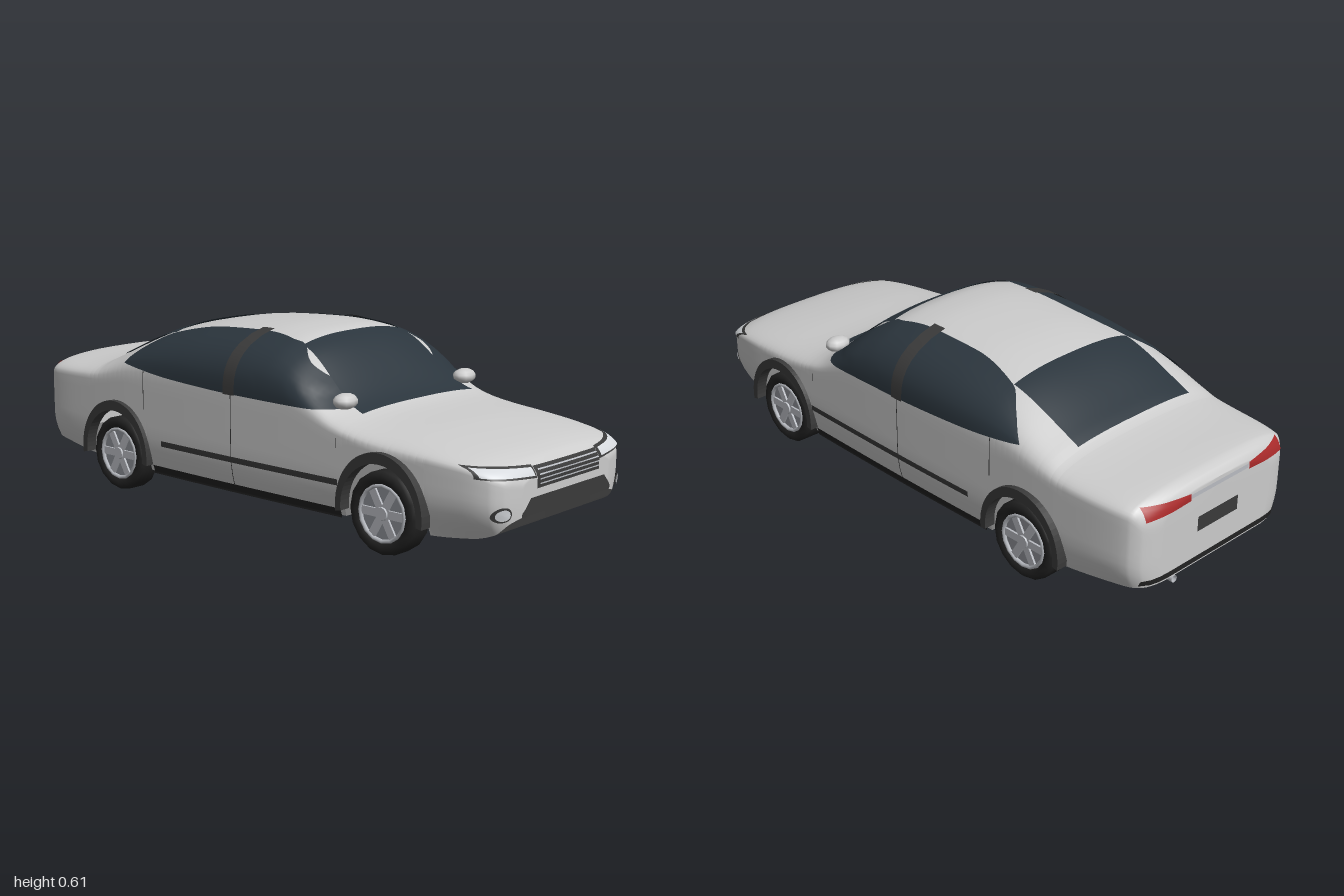
import * as THREE from 'three';

const material = (color) => new THREE.MeshStandardMaterial({ color, side: THREE.DoubleSide });
const PAINT = material(0xcccccc), GLASS = material(0x2b353d), TRIM = material(0x3a3a3a);
const RUBBER = material(0x222222), RED = material(0xa82a2a), LAMP = material(0xd5d8dc), ALLOY = material(0xb9bcc2);
const { clamp, lerp } = THREE.MathUtils;

// Smooth monotone curve through [x, value] pairs
function profile(pts) {
  const n = pts.length - 1;
  const d = pts.slice(1).map((p, i) => (p[1] - pts[i][1]) / (p[0] - pts[i][0]));
  const m = pts.map((p, i) => {
    if (i === 0 || i === n) return d[Math.min(i, n - 1)];
    const a = d[i - 1], b = d[i];
    return a * b <= 0 ? 0 : (2 * a * b) / (a + b);
  });
  return (x) => {
    x = clamp(x, pts[0][0], pts[n][0]);
    let i = 0;
    while (i < n - 1 && x > pts[i + 1][0]) i++;
    const h = pts[i + 1][0] - pts[i][0], t = (x - pts[i][0]) / h, s = 1 - t;
    return s * s * (1 + 2 * t) * pts[i][1] + t * t * (3 - 2 * t) * pts[i + 1][1] + h * t * s * (s * m[i] - t * m[i + 1]);
  };
}

// Body lines along the length: top, shoulder, underside, half width
const top = profile([[-1, 0.39], [-0.985, 0.41], [-0.95, 0.422], [-0.8, 0.43], [-0.7, 0.442], [-0.64, 0.47], [-0.4, 0.572],
  [-0.2, 0.6], [0, 0.608], [0.12, 0.599], [0.2, 0.572], [0.42, 0.405], [0.5, 0.384], [0.7, 0.365], [0.88, 0.338], [0.96, 0.315], [0.99, 0.29], [1, 0.275]]);
const shoulder = profile([[-1, 0.3], [-0.95, 0.36], [-0.7, 0.37], [-0.5, 0.395], [0.2, 0.4], [0.42, 0.34], [0.6, 0.31], [0.88, 0.29], [0.97, 0.26], [1, 0.24]]);
const under = profile([[-1, 0.13], [-0.9, 0.12], [-0.72, 0.1], [-0.4, 0.09], [0.45, 0.09], [0.75, 0.083], [0.88, 0.09], [0.95, 0.11], [1, 0.16]]);
const width = profile([[-1, 0.24], [-0.995, 0.28], [-0.98, 0.32], [-0.94, 0.348], [-0.8, 0.365], [-0.5, 0.378], [0, 0.385],
  [0.5, 0.38], [0.75, 0.368], [0.88, 0.352], [0.95, 0.33], [0.985, 0.29], [1, 0.22]]);
const tuck = profile([[-1, 0.16], [-0.6, 0.06], [0.6, 0.06], [1, 0.18]]);
const POW = 2.6;

// Half width of the body at (x, y), height at (x, z), and end position at (y, z)
function sideZ(x, y) {
  const s = shoulder(x), t = (y - s) / (top(x) - s);
  if (t > 0) return t >= 1 ? 0 : width(x) * (1 - t ** POW) ** (1 / POW);
  return width(x) * (1 - tuck(x) * clamp((0.22 - y) / 0.13, 0, 1) ** 2);
}
function topY(x, z) {
  const s = shoulder(x), k = Math.min(1, Math.abs(z) / width(x));
  return s + (top(x) - s) * (1 - k ** POW) ** (1 / POW);
}
function endX(dir, y, z) {
  let a = 0.75, b = 1;
  for (let i = 0; i < 22; i++) {
    const c = (a + b) / 2;
    const inside = Math.abs(z) <= sideZ(dir * c, y) && y <= top(dir * c) && y >= under(dir * c) - 0.03;
    if (inside) a = c; else b = c;
  }
  return dir * a;
}

// Grid surface from a list of rows of [x, y, z]
function surface(name, rows, mat) {
  const geo = new THREE.BufferGeometry(), n = rows[0].length, index = [];
  geo.setAttribute('position', new THREE.Float32BufferAttribute(rows.flat(2), 3));
  for (let i = 0; i < rows.length - 1; i++)
    for (let j = 0; j < n - 1; j++) {
      const a = i * n + j, b = a + n;
      index.push(a, a + 1, b, b, a + 1, b + 1);
    }
  geo.setIndex(index);
  geo.computeVertexNormals();
  const mesh = new THREE.Mesh(geo, mat);
  mesh.name = name;
  return mesh;
}
function patch(name, mat, nu, nv, fn) {
  const rows = [];
  for (let i = 0; i <= nu; i++) rows.push(Array.from({ length: nv + 1 }, (_, j) => fn(i / nu, j / nv)));
  return surface(name, rows, mat);
}
// Patch on the flank between two height curves
const sidePatch = (name, mat, s, x0, x1, lo, hi, off = 0.003, nu = 40) => patch(name, mat, nu, 8, (u, v) => {
  const x = s > 0 ? lerp(x0, x1, u) : lerp(x1, x0, u);
  const y = Math.min(lerp(lo(x), hi(x), v), lerp(shoulder(x), top(x), 0.93));
  return [x, y + (y > 0.45 ? off * 0.8 : 0), s * (sideZ(x, y) + off)];
});
// Patch on the nose (dir 1) or tail (dir -1): z range, then [low, high] at each end
const endPatch = (name, mat, dir, z0, z1, a, b, off = 0.003) => patch(name, mat, 20, 4, (u, v) => {
  const z = dir > 0 ? lerp(z1, z0, u) : lerp(z0, z1, u), k = (z - z0) / (z1 - z0);
  const y = lerp(lerp(a[0], b[0], k), lerp(a[1], b[1], k), v);
  return [endX(dir, y, z) + dir * off, y, z + Math.sign(z) * off * 0.5];
});

const WHEELS = [-0.57, 0.605], AXLE = 0.127, ARCH = 0.15;

function addShell(g) {
  const xs = [];
  for (let i = -38; i <= 38; i++) xs.push(i * 0.025);
  for (const e of [0.96, 0.97, 0.98, 0.985, 0.99, 0.995, 0.998, 1]) xs.push(e, -e);
  for (const c of WHEELS) {
    xs.push(c - ARCH - 0.001, c + ARCH + 0.001);
    for (let k = 0; k <= 24; k++) xs.push(c - ARCH * Math.cos((Math.PI * k) / 24));
  }
  xs.sort((a, b) => a - b);
  const inArch = (x) => WHEELS.find((c) => Math.abs(x - c) <= ARCH + 1e-6);
  const section = (x) => {
    const c = inArch(x), s = shoulder(x), half = [];
    const y0 = c === undefined ? under(x) : AXLE + 0.005 + Math.sqrt(Math.max(0, ARCH ** 2 - (x - c) ** 2));
    for (let i = 0; i < 8; i++) { const y = lerp(y0, s, i / 8); half.push([x, y, sideZ(x, y)]); }
    for (let i = 0; i <= 16; i++) {
      const t = (Math.PI / 2) * (i / 16), z = i === 16 ? 0 : width(x) * Math.cos(t) ** (2 / POW);
      half.push([x, s + (top(x) - s) * Math.sin(t) ** (2 / POW), z]);
    }
    return [...half, ...half.slice(0, -1).reverse().map(([a, b, z]) => [a, b, -z])];
  };
  const rows = xs.map(section);
  // Flat caps close nose and tail
  const cap = (r) => r.map(([x, y]) => [x, y, 0]);
  g.add(surface('bodyShell', [cap(rows[0]), ...rows, cap(rows[rows.length - 1])], PAINT));
  // Floor, notched at the wheels
  g.add(surface('floor', xs.map((x) => {
    const y = under(x), z = inArch(x) === undefined ? sideZ(x, y) : 0.25;
    return [[x, y, -z], [x, y, z]];
  }), material(0x777777)));
}

function addGlass(g) {
  const screen = (name, x0, x1, z0, z1) => g.add(patch(name, GLASS, 16, 24, (u, v) => {
    const x = lerp(x0, x1, u), z = lerp(-1, 1, v) * lerp(z0, z1, u);
    return [x, topY(x, z) + 0.005, z];
  }));
  screen('windscreen', 0.17, 0.445, 0.24, 0.275);
  screen('rearWindow', -0.67, -0.4, 0.25, 0.25);
  const lo = profile([[-0.54, 0.445], [-0.3, 0.42], [0, 0.407], [0.41, 0.402]]);
  const hi = profile([[-0.54, 0.447], [-0.48, 0.5], [-0.4, 0.547], [-0.2, 0.582], [0, 0.589], [0.15, 0.572], [0.25, 0.512], [0.41, 0.404]]);
  for (const s of [1, -1]) {
    g.add(sidePatch('sideWindow', GLASS, s, -0.54, 0.41, lo, hi, 0.004, 60));
    g.add(sidePatch('centrePillar', TRIM, s, -0.04, 0.01, () => 0.405, () => 0.602, 0.007, 4));
  }
}

function addSides(g) {
  for (const s of [1, -1]) {
    g.add(sidePatch('rubbingStrip', TRIM, s, -0.34, 0.44, () => 0.187, () => 0.206, 0.006));
    g.add(sidePatch('sill', RUBBER, s, -0.4, 0.44, () => 0.083, () => 0.112, 0.004));
    for (const [x, y] of [[-0.01, 0.405], [-0.43, 0.43], [0.43, 0.33]])
      g.add(sidePatch('doorGap', TRIM, s, x - 0.0015, x + 0.0015, () => x ? 0.3 - (Math.abs(x) < 0.1 ? 0.19 : 0) : 0, () => y, 0.002, 1));
    const mirror = new THREE.Mesh(new THREE.SphereGeometry(1, 10, 7), PAINT);
    mirror.name = 'doorMirror';
    mirror.scale.set(0.035, 0.025, 0.045);
    mirror.position.set(0.395, 0.425, s * 0.297);
    g.add(mirror);
    // Wheel arch flares
    for (const c of WHEELS) {
      const ring = new THREE.Shape();
      ring.absellipse(0, 0, 0.165, 0.18, -0.12, Math.PI + 0.12, false);
      ring.absellipse(0, 0, ARCH - 0.006, ARCH - 0.004, Math.PI + 0.12, -0.12, true);
      const flare = new THREE.Mesh(new THREE.ExtrudeGeometry(ring, { depth: 0.04, bevelEnabled: false, curveSegments: 16 }), TRIM);
      flare.name = 'wheelArchFlare';
      flare.position.set(c, 0.133, s > 0 ? 0.355 : -0.395);
      g.add(flare);
    }
  }
}

function addEnds(g) {
  // Nose: grille with bars, intake, lamps
  g.add(endPatch('grille', TRIM, 1, -0.16, 0.16, [0.233, 0.296], [0.233, 0.296], 0.004));
  for (let i = 0; i < 4; i++) {
    const y = 0.244 + i * 0.0135;
    g.add(endPatch('grilleBar', ALLOY, 1, -0.15, 0.15, [y, y + 0.004], [y, y + 0.004], 0.008));
  }
  g.add(endPatch('lowerIntake', TRIM, 1, -0.19, 0.19, [0.16, 0.21], [0.16, 0.21], 0.004));
  g.add(endPatch('intakeLip', TRIM, 1, -0.115, 0.115, [0.14, 0.162], [0.14, 0.162], 0.004));
  for (const s of [1, -1]) {
    const mirrored = (name, mat, dir, z0, z1, a, b, off) =>
      g.add(s > 0 ? endPatch(name, mat, dir, z0, z1, a, b, off) : endPatch(name, mat, dir, -z1, -z0, b, a, off));
    mirrored('intakeEnd', TRIM, 1, 0.19, 0.228, [0.16, 0.21], [0.158, 0.17], 0.004);
    mirrored('headlampSurround', TRIM, 1, 0.162, 0.345, [0.264, 0.3], [0.278, 0.312], 0.003);
    mirrored('headlamp', LAMP, 1, 0.17, 0.34, [0.272, 0.295], [0.283, 0.308], 0.007);
    for (const [name, mat, r, off] of [['fogLampSurround', TRIM, 0.027, 0.004], ['fogLamp', LAMP, 0.02, 0.008]])
      g.add(patch(name, mat, 20, 2, (u, v) => {
        const a = -u * 2 * Math.PI, y = 0.175 + v * r * 0.85 * Math.sin(a), z = s * 0.295 + v * r * Math.cos(a);
        return [endX(1, y, z) + off, y, z + s * off * 0.5];
      }));
    // Tail lamps
    mirrored('tailLamp', RED, -1, 0.13, 0.305, [0.362, 0.385], [0.355, 0.395], 0.005);
  }
  g.add(endPatch('tailStrip', ALLOY, -1, -0.13, 0.13, [0.366, 0.38], [0.366, 0.38], 0.003));
  g.add(endPatch('plateRecess', TRIM, -1, -0.09, 0.09, [0.24, 0.29], [0.24, 0.29], 0.003));
  g.add(endPatch('rearBumperStrip', RUBBER, -1, -0.31, 0.31, [0.138, 0.156], [0.138, 0.156], 0.004));
  const pipe = new THREE.Mesh(new THREE.CylinderGeometry(0.012, 0.012, 0.12, 10, 1, true), ALLOY);
  pipe.name = 'exhaustPipe';
  pipe.rotation.z = Math.PI / 2;
  pipe.position.set(-0.94, 0.115, -0.18);
  g.add(pipe);
}

function makeWheel() {
  const wheel = new THREE.Group();
  wheel.name = 'wheel';
  const part = (name, geo, mat) => {
    const m = new THREE.Mesh(geo, mat);
    m.name = name;
    wheel.add(m);
    return m;
  };
  const tyre = [[0.088, -0.034], [0.1, -0.042], [0.118, -0.04], [0.127, -0.03], [0.127, 0.03], [0.118, 0.04], [0.1, 0.042], [0.088, 0.034]];
  part('tyre', new THREE.LatheGeometry(tyre.map((p) => new THREE.Vector2(...p)), 16).rotateX(Math.PI / 2), RUBBER);
  part('rimDisc', new THREE.CylinderGeometry(0.09, 0.09, 0.056, 16).rotateX(Math.PI / 2), material(0x8d9096));
  part('rimEdge', new THREE.TorusGeometry(0.085, 0.007, 6, 16).translate(0, 0, 0.033), ALLOY);
  part('hub', new THREE.CylinderGeometry(0.02, 0.024, 0.012, 10).rotateX(Math.PI / 2).translate(0, 0, 0.034), ALLOY);
  for (let i = 0; i < 6; i++)
    part('spoke', new THREE.BoxGeometry(0.07, 0.026, 0.008).translate(0.05, 0, 0.031), ALLOY).rotation.z = (i * Math.PI) / 3;
  return wheel;
}

export function createModel() {
  const car = new THREE.Group();
  car.name = 'saloonCar';
  addShell(car);
  addGlass(car);
  addSides(car);
  addEnds(car);
  for (const x of WHEELS)
    for (const s of [1, -1]) {
      const wheel = makeWheel();
      wheel.position.set(x, AXLE, s * 0.338);
      if (s < 0) wheel.rotation.y = Math.PI;
      car.add(wheel);
    }
  return car;
}
